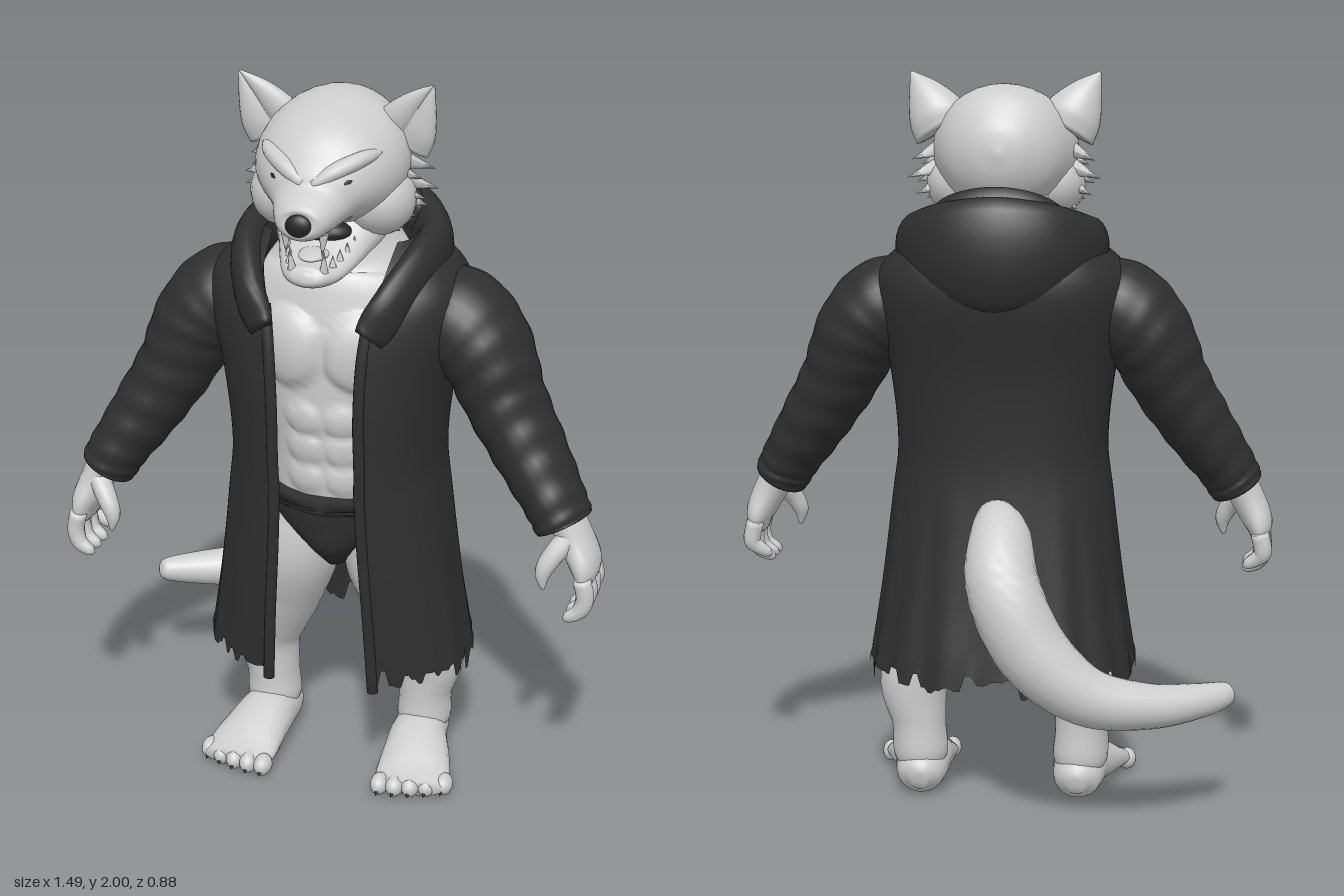
import * as THREE from 'three';

const fur = new THREE.MeshStandardMaterial({ color: 0xcdcdcd });
fur.name = 'pale fur';
const cloth = new THREE.MeshStandardMaterial({ color: 0x2f2f2f, side: THREE.DoubleSide });
cloth.name = 'dark cloth';
const black = new THREE.MeshStandardMaterial({ color: 0x242424 });
black.name = 'black';

const Y = new THREE.Vector3(0, 1, 0), Z = new THREE.Vector3(0, 0, 1);

function surface(pos, idx) {
  const g = new THREE.BufferGeometry();
  g.setAttribute('position', new THREE.Float32BufferAttribute(pos, 3));
  g.setIndex(idx);
  g.computeVertexNormals();
  return g;
}

// Smooth capped body through rows of [x, y, z, half width, half depth]
function sweep(rows, ref, steps = 28, sides = 24, ripple = () => 1) {
  const curve = (f) => new THREE.CatmullRomCurve3(rows.map(f), false, 'catmullrom', 0.5);
  const path = curve((r) => new THREE.Vector3(r[0], r[1], r[2]));
  const size = curve((r) => new THREE.Vector3(r[3], r[4], 0));
  const pos = [], idx = [];
  for (let i = 0; i <= steps; i++) {
    const t = i / steps, c = path.getPoint(t), s = size.getPoint(t), T = path.getTangent(t);
    const A = T.clone().cross(ref).normalize(), B = T.clone().cross(A);
    for (let j = 0; j < sides; j++) {
      const q = (j / sides) * Math.PI * 2, k = ripple(t, q);
      const p = c.clone().addScaledVector(A, Math.cos(q) * Math.max(s.x, 0.002) * k)
        .addScaledVector(B, Math.sin(q) * Math.max(s.y, 0.002) * k);
      pos.push(p.x, p.y, p.z);
      if (i < steps) {
        const a = i * sides + j, b = i * sides + (j + 1) % sides;
        idx.push(a, b, a + sides, b, b + sides, a + sides);
      }
    }
  }
  const n = pos.length / 3, last = steps * sides;
  pos.push(...path.getPoint(0).toArray(), ...path.getPoint(1).toArray());
  for (let j = 0; j < sides; j++) {
    const k = (j + 1) % sides;
    idx.push(n, k, j, n + 1, last + j, last + k);
  }
  return surface(pos, idx);
}

// Torso with chest and belly muscles raised out of the front
function torsoGeometry() {
  const g = sweep([[0, 0.82, 0.05, 0.19, 0.16], [0, 1.0, 0.05, 0.2, 0.175], [0, 1.15, 0.055, 0.22, 0.185],
    [0, 1.32, 0.05, 0.27, 0.19], [0, 1.42, 0.045, 0.26, 0.175], [0, 1.5, 0.03, 0.2, 0.15],
    [0, 1.6, 0.04, 0.14, 0.13], [0, 1.72, 0.07, 0.12, 0.11]], Z, 90, 96);
  const p = g.attributes.position;
  const bump = (x, y, cy, cx, r, h) =>
    Math.sqrt(Math.max(0, 1 - ((Math.abs(x) - cx) / cx) ** 2 - ((y - cy) / r) ** 2)) * h;
  for (let i = 0; i < p.count; i++) {
    const x = p.getX(i), y = p.getY(i), z = p.getZ(i);
    if (z < 0.1) continue;
    let d = bump(x, y, 1.3, 0.1, 0.11, 0.035);
    for (const c of [0.92, 1.01, 1.1]) d += bump(x, y, c, 0.055, 0.046, 0.016);
    p.setZ(i, z + d);
  }
  g.computeVertexNormals();
  return g;
}

// Coat rows: height, half width, front z, back z, half opening
const coatRows = [
  [1.58, 0.2, 0.15, -0.16, 0.17], [1.5, 0.32, 0.25, -0.19, 0.16], [1.4, 0.35, 0.3, -0.2, 0.135],
  [1.2, 0.31, 0.32, -0.165, 0.12], [1.0, 0.29, 0.315, -0.15, 0.12], [0.85, 0.305, 0.305, -0.155, 0.12],
  [0.6, 0.335, 0.295, -0.185, 0.135], [0.37, 0.37, 0.28, -0.22, 0.15],
];
const coatA = new THREE.CatmullRomCurve3(coatRows.map((r) => new THREE.Vector3(r[0], r[1], r[4])), false, 'catmullrom', 0.5);
const coatB = new THREE.CatmullRomCurve3(coatRows.map((r) => new THREE.Vector3(r[2], r[3], 0)), false, 'catmullrom', 0.5);
function coatPoint(v, u) {
  const a = coatA.getPoint(v), b = coatB.getPoint(v), e = 0.8;
  const q0 = Math.asin(Math.pow(Math.min(1, a.z / a.y), 1 / e));
  const q = q0 + u * (Math.PI * 2 - 2 * q0), s = Math.sin(q), c = Math.cos(q), mid = 0.06;
  const fold = 1 + 0.015 * Math.max(0, v - 0.6) / 0.4 * Math.sin(q * 16) * Math.sin(u * Math.PI);
  const depth = c > 0 ? b.x - mid : mid - b.y;
  return new THREE.Vector3(Math.sign(s) * Math.pow(Math.abs(s), e) * a.y * fold, a.x,
    mid + Math.sign(c) * Math.pow(Math.abs(c), e) * depth * fold);
}
function coatGeometry() {
  const rows = 36, cols = 160, pos = [], idx = [];
  let seed = 7;
  const rand = () => (seed = (seed * 16807) % 2147483647) / 2147483647;
  const hem = Array.from({ length: 81 }, () => (rand() - 0.65) * 0.07);
  for (let i = 0; i <= rows; i++) for (let j = 0; j <= cols; j++) {
    const p = coatPoint(i / rows, j / cols);
    if (i === rows) p.y += hem[j >> 1];
    pos.push(p.x, p.y, p.z);
    if (i < rows && j < cols) {
      const a = i * (cols + 1) + j, b = a + cols + 1;
      idx.push(a, b, a + 1, a + 1, b, b + 1);
    }
  }
  return surface(pos, idx);
}

export function createModel() {
  const model = new THREE.Group();
  const add = (name, geo, mat) => {
    const m = new THREE.Mesh(geo, mat);
    m.name = name;
    model.add(m);
    return m;
  };
  const blob = (name, mat, p, r) => {
    const m = add(name, new THREE.SphereGeometry(1, 20, 14), mat);
    m.position.set(...p);
    m.scale.set(...r);
    return m;
  };
  const spike = (name, mat, from, to, r) => {
    const a = new THREE.Vector3(...from), d = new THREE.Vector3(...to).sub(a);
    const m = add(name, new THREE.ConeGeometry(r, d.length(), 8), mat);
    m.position.copy(a).addScaledVector(d, 0.5);
    m.quaternion.setFromUnitVectors(Y, d.normalize());
  };

  // Torso and briefs
  add('torso', torsoGeometry(), fur);
  add('briefs', sweep([[0, 0.635, 0.05, 0.04, 0.1], [0, 0.7, 0.05, 0.1, 0.16], [0, 0.78, 0.05, 0.19, 0.175],
    [0, 0.87, 0.05, 0.205, 0.185]], Z, 16, 32), cloth);
  add('waistband', sweep([[0, 0.825, 0.05, 0.207, 0.187], [0, 0.87, 0.05, 0.212, 0.192]], Z, 2, 32), cloth);

  // Coat and hood
  add('coat', coatGeometry(), cloth);
  const hood = [[0.145, 1.37, 0.295, 0.025, 0.05], [0.19, 1.45, 0.25, 0.04, 0.065], [0.235, 1.52, 0.13, 0.045, 0.075],
    [0.235, 1.535, -0.02, 0.05, 0.09], [0.15, 1.535, -0.14, 0.055, 0.13]];
  add('hood', sweep([...hood, [0, 1.53, -0.18, 0.06, 0.155],
    ...hood.slice().reverse().map(([x, ...r]) => [-x, ...r])], Y, 60, 20), cloth);
  add('hoodPeak', sweep([[0.19, 1.57, -0.07, 0.03, 0.05], [0.11, 1.615, -0.125, 0.035, 0.07],
    [0, 1.63, -0.14, 0.035, 0.078], [-0.11, 1.615, -0.125, 0.035, 0.07], [-0.19, 1.57, -0.07, 0.03, 0.05]], Y, 24, 16), cloth);
  for (const u of [0, 1]) {
    const edge = [];
    for (let k = 0; k < 8; k++) {
      const p = coatPoint(0.25 + 0.75 * k / 7, u);
      edge.push([p.x, p.y - (k === 7 ? 0.05 : 0), p.z - 0.006, 0.016, 0.014]);
    }
    add('coatTrim', sweep(edge, Z, 30, 10), cloth);
  }

  // Head
  add('skullAndMuzzle', sweep([[0, 1.79, -0.108, 0.01, 0.01], [0, 1.79, -0.09, 0.08, 0.08], [0, 1.79, -0.03, 0.15, 0.15],
    [0, 1.795, 0.06, 0.19, 0.175], [0, 1.79, 0.14, 0.2, 0.165], [0, 1.775, 0.22, 0.18, 0.145],
    [0, 1.755, 0.28, 0.142, 0.105], [0, 1.73, 0.33, 0.1, 0.075], [0, 1.715, 0.38, 0.08, 0.058],
    [0, 1.705, 0.42, 0.058, 0.043], [0, 1.705, 0.432, 0.015, 0.015]], Y, 50, 32), fur);
  add('lowerJaw', sweep([[0, 1.66, 0.03, 0.1, 0.08], [0, 1.63, 0.13, 0.15, 0.085], [0, 1.585, 0.22, 0.12, 0.055],
    [0, 1.55, 0.31, 0.085, 0.035], [0, 1.55, 0.36, 0.055, 0.028], [0, 1.555, 0.378, 0.015, 0.012]], Y, 28, 24), fur);
  blob('mouth', black, [0, 1.63, 0.22], [0.08, 0.035, 0.05]);
  blob('tongue', fur, [0, 1.592, 0.29], [0.04, 0.014, 0.065]);
  blob('nose', black, [0, 1.705, 0.422], [0.036, 0.032, 0.02]);

  // Tail
  add('tail', sweep([[0, 0.83, -0.14, 0.05, 0.05], [-0.02, 0.775, -0.22, 0.085, 0.09], [-0.04, 0.66, -0.315, 0.1, 0.1],
    [-0.12, 0.5, -0.345, 0.098, 0.098], [-0.26, 0.385, -0.345, 0.08, 0.08], [-0.42, 0.35, -0.305, 0.065, 0.062],
    [-0.55, 0.35, -0.245, 0.05, 0.048], [-0.63, 0.358, -0.195, 0.032, 0.032], [-0.645, 0.36, -0.185, 0.004, 0.004]], Y, 48, 20), fur);

  // Mirrored parts: s = 1 is the left side
  for (const s of [1, -1]) {
    const limb = (name, mat, rows, ref = Z, steps = 24, sides = 20, ripple) =>
      add(name, sweep(rows.map(([x, ...r]) => [x * s, ...r]), ref, steps, sides, ripple), mat);

    // Face
    const eye = blob('eye', black, [0.083 * s, 1.79, 0.317], [0.038, 0.019, 0.018]);
    eye.rotation.set(0, 0.6 * s, 0.25 * s);
    limb('brow', fur, [[0.012, 1.79, 0.35, 0.014, 0.014], [0.065, 1.822, 0.32, 0.024, 0.022], [0.12, 1.845, 0.27, 0.022, 0.02],
      [0.15, 1.85, 0.22, 0.01, 0.01]], Y, 14, 12);
    blob('cheek', fur, [0.125 * s, 1.7, 0.13], [0.095, 0.095, 0.105]);
    limb('ear', fur, [[0.165, 1.845, 0.085, 0.085, 0.055], [0.19, 1.89, 0.095, 0.078, 0.062],
      [0.222, 1.945, 0.103, 0.048, 0.042], [0.258, 1.999, 0.11, 0.004, 0.004]], Z, 16, 32,
    (t, q) => 1 - 0.9 * Math.max(0, -Math.sin(q)) ** 1.5);
    for (const [x, y, z] of [[0.25, 1.765, 0.08], [0.265, 1.715, 0.09], [0.24, 1.67, 0.1], [0.2, 1.63, 0.11]]) {
      spike('cheekTuft', fur, [0.14 * s, y + 0.045, z + 0.03], [x * s, y, z - 0.03], 0.038);
      spike('cheekTuft', fur, [0.14 * s, y + 0.025, z + 0.06], [(x - 0.02) * s, y - 0.015, z + 0.02], 0.034);
    }
    spike('upperFang', fur, [0.05 * s, 1.675, 0.375], [0.047 * s, 1.615, 0.382], 0.014);
    spike('lowerFang', fur, [0.042 * s, 1.565, 0.35], [0.046 * s, 1.625, 0.36], 0.012);
    for (let k = 0; k < 4; k++) {
      const x = (0.058 + k * 0.01) * s, y = 1.572 + k * 0.008, z = 0.325 - k * 0.03;
      spike('tooth', fur, [x, y, z], [x, y + 0.032, z], 0.01);
    }

    // Sleeve with wrinkles
    limb('sleeve', cloth, [[0.25, 1.39, 0.05, 0.12, 0.13], [0.33, 1.36, 0.055, 0.135, 0.15], [0.4, 1.285, 0.065, 0.125, 0.15],
      [0.46, 1.16, 0.085, 0.108, 0.132], [0.54, 1.03, 0.115, 0.096, 0.118], [0.615, 0.915, 0.15, 0.082, 0.107],
      [0.645, 0.86, 0.16, 0.078, 0.102]], Z, 70, 28,
    (t, q) => 1 + 0.02 * Math.min(1, t * 2) * Math.sin(t * 62 + Math.sin(q * 2) * 1.3));

    // Hand
    limb('hand', fur, [[0.64, 0.89, 0.155, 0.05, 0.065], [0.678, 0.82, 0.16, 0.047, 0.068],
      [0.708, 0.755, 0.165, 0.04, 0.085], [0.712, 0.705, 0.165, 0.022, 0.08]]);
    for (let k = 0; k < 4; k++) {
      const z = 0.092 + k * 0.048, d = k === 0 ? 0.02 : 0;
      limb('finger', fur, [[0.712, 0.735, z, 0.025, 0.025], [0.722, 0.685, z, 0.025, 0.025], [0.71, 0.645 + d, z + 0.004, 0.022, 0.022],
        [0.678, 0.625 + d, z + 0.008, 0.015, 0.015], [0.666, 0.62 + d, z + 0.008, 0.003, 0.003]], Z, 14, 10);
    }
    limb('thumb', fur, [[0.67, 0.84, 0.19, 0.032, 0.032], [0.63, 0.79, 0.225, 0.028, 0.028], [0.608, 0.745, 0.24, 0.022, 0.022],
      [0.61, 0.7, 0.245, 0.006, 0.006]], Z, 14, 12);

    // Leg, foot and toes
    limb('leg', fur, [[0.1, 0.8, 0.04, 0.09, 0.13], [0.13, 0.64, 0.04, 0.12, 0.145], [0.175, 0.48, 0.015, 0.105, 0.115],
      [0.24, 0.33, -0.01, 0.1, 0.09], [0.23, 0.2, -0.015, 0.076, 0.08], [0.225, 0.11, -0.015, 0.076, 0.082],
      [0.225, 0.07, -0.01, 0.05, 0.05]], Z, 36, 24);
    limb('foot', fur, [[0.22, 0.05, -0.108, 0.02, 0.025], [0.22, 0.062, -0.07, 0.064, 0.06], [0.225, 0.075, 0.04, 0.08, 0.073],
      [0.24, 0.06, 0.13, 0.095, 0.058], [0.252, 0.04, 0.21, 0.104, 0.038], [0.257, 0.032, 0.265, 0.092, 0.026]], Y, 24, 20);
    for (let k = 0; k < 5; k++) {
      const x = 0.172 + k * 0.043, z = 0.265 - k * k * 0.003;
      blob('toe', fur, [x * s, 0.031, z], [0.026, 0.03, 0.036]);
      spike('claw', black, [x * s, 0.026, z + 0.022], [x * s, 0.016, z + 0.044], 0.01);
    }
  }
  return model;
}
